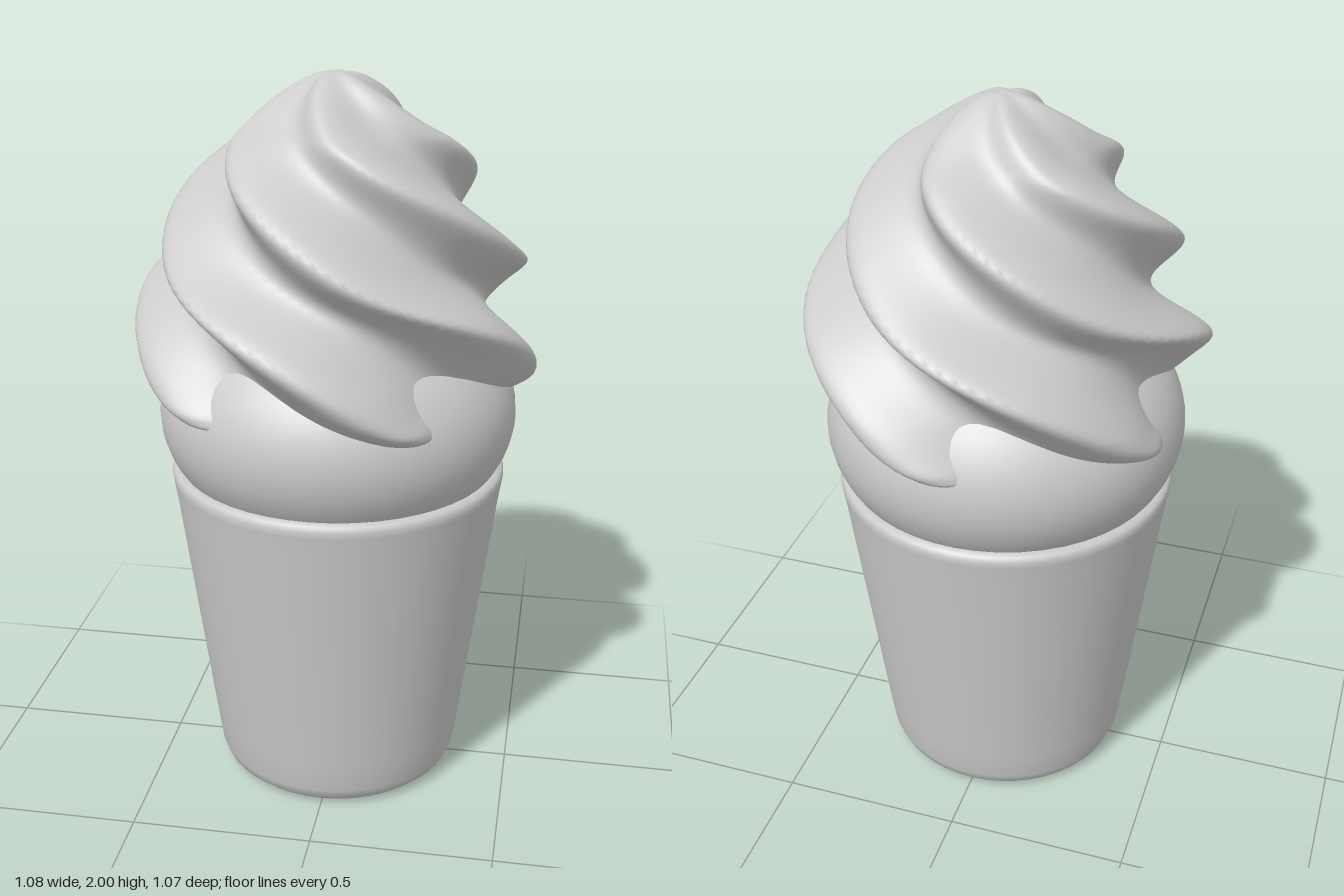
import * as THREE from 'three';
import { mergeVertices } from 'three/addons/utils/BufferGeometryUtils.js';

const LOBES = 5;
const material = new THREE.MeshStandardMaterial({ color: 0xcccccc });

function addPart(group, name, geometry) {
  const mesh = new THREE.Mesh(geometry, material);
  mesh.name = name;
  group.add(mesh);
  return mesh;
}

// Drop the lathe seam so the shading runs smoothly all the way round
function smoothClosed(geometry) {
  geometry.deleteAttribute('uv');
  geometry.deleteAttribute('normal');
  const merged = mergeVertices(geometry, 1e-5);
  merged.computeVertexNormals();
  return merged;
}

function cupGeometry() {
  const profile = [
    [0, 0], [0.29, 0], [0.315, 0.006], [0.335, 0.024], [0.348, 0.055],
    [0.36, 0.14], [0.453, 0.85], [0.461, 0.9], [0.463, 0.918], [0.457, 0.932],
    [0.44, 0.938], [0, 0.938],
  ].map(([r, y]) => new THREE.Vector2(r, y));
  return smoothClosed(new THREE.LatheGeometry(profile, 48));
}

// Lobe height around the section: rounded valleys (0) rising to a tighter crest (1)
function lobeWave(angle) {
  const soft = 0.2;
  const ridge = (s) => Math.sqrt(s * s + soft);
  return (ridge(1) - ridge(Math.sin(LOBES * angle / 2))) / (ridge(1) - ridge(0));
}

// Five-lobed section, twisted and tapered along its height
function swirlGeometry() {
  // crest radius, height, crest angle in degrees (from +z towards +x)
  const stations = [
    [0.2, 1.16, 106], [0.4, 1.143, 106], [0.48, 1.15, 105], [0.515, 1.175, 100],
    [0.535, 1.22, 91], [0.544, 1.3, 78], [0.537, 1.42, 54], [0.487, 1.545, 18],
    [0.41, 1.7, -18], [0.302, 1.83, -54], [0.235, 1.88, -68], [0.145, 1.945, -83],
    [0.06, 1.99, -98], [0, 2, -110],
  ];
  const curve = new THREE.CatmullRomCurve3(
    stations.map(([r, y, deg]) => new THREE.Vector3(r, y, THREE.MathUtils.degToRad(deg))),
    false, 'centripetal');
  const rows = curve.getPoints(104);
  const segments = 160;
  const geometry = new THREE.LatheGeometry(
    rows.map((p) => new THREE.Vector2(Math.max(p.x, 0), p.y)), segments);
  const position = geometry.attributes.position;
  for (let k = 0; k < position.count; k++) {
    const row = rows[k % rows.length];
    const angle = (Math.floor(k / rows.length) / segments) * Math.PI * 2;
    const r = Math.max(row.x, 0) * (1 - 0.27 * (1 - lobeWave(angle - row.z)));
    position.setXYZ(k, r * Math.sin(angle), row.y, r * Math.cos(angle));
  }
  return smoothClosed(geometry);
}

export function createModel() {
  const group = new THREE.Group();
  group.name = 'softServeCup';

  addPart(group, 'cup', cupGeometry());

  // Rounded base of cream between cup and swirl
  const base = addPart(group, 'creamBase', new THREE.SphereGeometry(1, 48, 32));
  base.scale.set(0.489, 0.35, 0.489);
  base.position.y = 1.09;

  addPart(group, 'creamSwirl', swirlGeometry());

  group.position.set(-0.006, 0, -0.004);
  return group;
}
